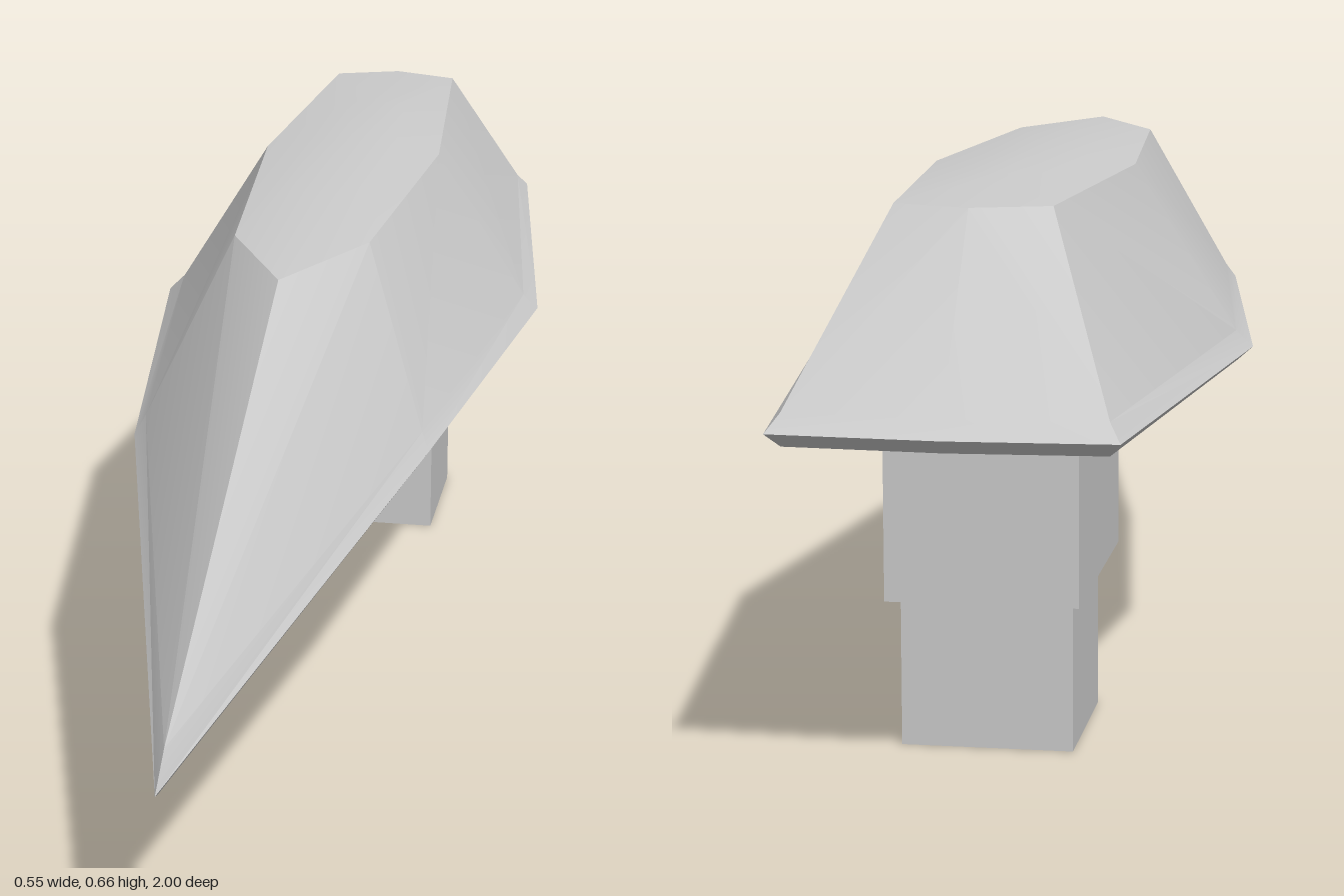
import * as THREE from 'three';
import { toCreasedNormals } from 'three/addons/utils/BufferGeometryUtils.js';

// Mirrors five half-outline points (tip, three sides, back) into a closed ring of eight.
function ring(half) {
  const mirrored = half.slice(1, 4).reverse().map(([x, y, z]) => [-x, y, z]);
  return [...half, ...mirrored];
}

// Scales a ring toward a centre line point and sets its height.
function shrink(points, k, y, cz) {
  return points.map(([x, , z]) => [x * k, y, cz + (z - cz) * k]);
}

// Skins consecutive rings with triangles.
function skin(rings) {
  const pos = [];
  for (let r = 0; r < rings.length - 1; r++) {
    const a = rings[r], b = rings[r + 1], n = a.length;
    for (let i = 0; i < n; i++) {
      const j = (i + 1) % n;
      // mirror the diagonal so both halves match
      const tris = i < n / 2
        ? [[a[i], a[j], b[j]], [a[i], b[j], b[i]]]
        : [[a[i], a[j], b[i]], [a[j], b[j], b[i]]];
      for (const t of tris) {
        const [p, q, s] = t.map((v) => new THREE.Vector3(...v));
        if (new THREE.Triangle(p, q, s).getArea() > 1e-7) pos.push(...t.flat());
      }
    }
  }
  const geo = new THREE.BufferGeometry();
  geo.setAttribute('position', new THREE.Float32BufferAttribute(pos, 3));
  geo.computeVertexNormals();
  return toCreasedNormals(geo, 0.3);
}

export function createModel() {
  const model = new THREE.Group();
  const mat = new THREE.MeshStandardMaterial({ color: 0xcccccc });
  const flat = new THREE.MeshStandardMaterial({ color: 0xcccccc, flatShading: true });

  function add(name, geo, material, x = 0, y = 0, z = 0) {
    const mesh = new THREE.Mesh(geo, material);
    mesh.name = name;
    mesh.position.set(x, y, z);
    model.add(mesh);
    return mesh;
  }

  // Hollow pointed hull: ceiling, bevelled rim, sloping sides, slightly domed roof
  const roof = ring([[0, 0.645, 0.245], [0.09, 0.645, 0.07], [0.125, 0.645, -0.36],
    [0.09, 0.645, -0.79], [0, 0.645, -0.82]]);
  const upperRim = ring([[0, 0.338, 0.95], [0.182, 0.44, 0.215], [0.252, 0.44, -0.36],
    [0.178, 0.44, -0.97], [0, 0.44, -0.98]]);
  const rim = ring([[0, 0.305, 1], [0.193, 0.42, 0.235], [0.273, 0.42, -0.36],
    [0.192, 0.42, -0.99], [0, 0.42, -1]]);
  const lowerRim = ring([[0, 0.3, 0.985], [0.18, 0.403, 0.23], [0.254, 0.403, -0.36],
    [0.178, 0.403, -0.97], [0, 0.403, -0.98]]);
  const ceiling = shrink(roof, 1, 0.52, -0.36);
  add('hull', skin([
    shrink(roof, 0, 0.52, -0.36), ceiling, lowerRim, rim, upperRim, roof,
    shrink(roof, 0.5, 0.657, -0.36), shrink(roof, 0, 0.66, -0.36),
  ]), mat);

  // Stepped block under the rear
  add('upperBlock', new THREE.BoxGeometry(0.226, 0.335, 0.335), mat, 0, 0.3475, -0.588);
  add('lowerBlock', new THREE.BoxGeometry(0.202, 0.18, 0.206), mat, 0, 0.09, -0.617);

  // Two hanging pendants, each an elongated body with a small ball below
  for (const [x, z] of [[-0.065, 0.03], [0.075, -0.18]]) {
    const body = add('pendantBody', new THREE.SphereGeometry(1, 12, 8), flat, x, 0.437, z);
    body.scale.set(0.046, 0.09, 0.046);
    add('pendantBall', new THREE.SphereGeometry(0.04, 12, 8), flat, x, 0.308, z);
  }
  return model;
}
